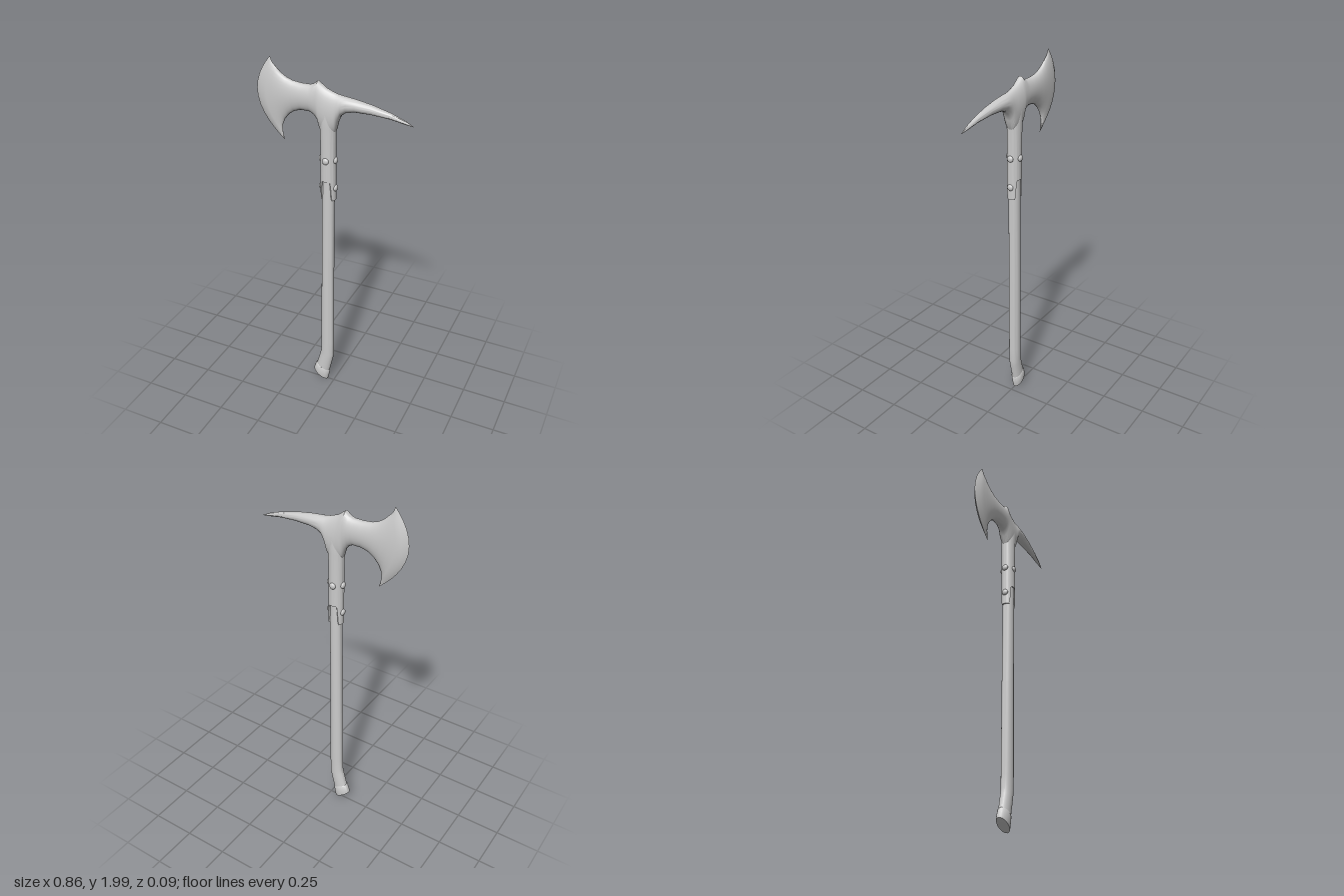
import * as THREE from 'three';
import { toCreasedNormals } from 'three/addons/utils/BufferGeometryUtils.js';

const material = new THREE.MeshStandardMaterial({ color: 0xcccccc });
const openMaterial = new THREE.MeshStandardMaterial({ color: 0xcccccc, side: THREE.DoubleSide });

// Skins elliptical sections [x1, y1, x2, y2, halfDepth, bulge]; the two points are the ends of
// the section in the xy plane, and bulge bows its middle towards -x.
// adjust(point, angle, row) may move single points.
function loft(sections, segments, crease, adjust) {
  const pos = [], index = [];
  sections.forEach(([x1, y1, x2, y2, depth, bulge = 0], row) => {
    for (let j = 0; j < segments; j++) {
      const a = (j / segments) * Math.PI * 2;
      const c = Math.cos(a), s = Math.sin(a);
      const p = new THREE.Vector3(
        (x1 + x2) / 2 + ((x1 - x2) / 2) * c - bulge * s * s,
        (y1 + y2) / 2 + ((y1 - y2) / 2) * c,
        depth * s
      );
      if (adjust) adjust(p, a, row);
      pos.push(p.x, p.y, p.z);
    }
  });
  for (let i = 0; i < sections.length - 1; i++) {
    for (let j = 0; j < segments; j++) {
      const k = (j + 1) % segments;
      const a = i * segments + j, b = i * segments + k;
      const c = a + segments, d = b + segments;
      index.push(a, b, c, b, d, c);
    }
  }
  const g = new THREE.BufferGeometry();
  g.setAttribute('position', new THREE.Float32BufferAttribute(pos, 3));
  g.setIndex(index);
  return toCreasedNormals(g, crease);
}

export function createModel() {
  const group = new THREE.Group();
  const add = (name, geometry, mat = material) => {
    const mesh = new THREE.Mesh(geometry, mat);
    mesh.name = name;
    group.add(mesh);
    return mesh;
  };

  // Head: one skin running from the cutting edge, over the socket, to the spike tip
  add('axeHead', loft([
    [-0.35, 2.0, -0.28, 1.56, 0, 0.115],
    [-0.343, 1.978, -0.286, 1.583, 0.019, 0.085],
    [-0.335, 1.965, -0.292, 1.61, 0.024, 0.055],
    [-0.32, 1.95, -0.29, 1.645, 0.027, 0.03],
    [-0.295, 1.925, -0.275, 1.68, 0.03, 0.015],
    [-0.265, 1.905, -0.25, 1.71, 0.032, 0.005],
    [-0.23, 1.892, -0.22, 1.732, 0.033],
    [-0.18, 1.886, -0.18, 1.745, 0.035],
    [-0.13, 1.887, -0.13, 1.745, 0.037],
    [-0.108, 1.895, -0.105, 1.732, 0.038],
    [-0.085, 1.915, -0.085, 1.705, 0.039],
    [-0.065, 1.9, -0.073, 1.66, 0.04],
    [-0.04, 1.882, -0.04, 1.64, 0.041],
    [-0.01, 1.87, -0.01, 1.64, 0.041],
    [0.01, 1.863, 0.012, 1.66, 0.04],
    [0.03, 1.858, 0.023, 1.71, 0.039],
    [0.05, 1.855, 0.042, 1.752, 0.037],
    [0.08, 1.851, 0.07, 1.773, 0.035],
    [0.12, 1.846, 0.12, 1.783, 0.032],
    [0.2, 1.833, 0.2, 1.785, 0.025],
    [0.3, 1.809, 0.3, 1.778, 0.016],
    [0.38, 1.781, 0.38, 1.764, 0.008],
    [0.425, 1.758, 0.425, 1.758, 0],
  ], 32, 0.8));

  // Socket: sleeve whose lower rim is notched front and back, leaving a tongue on each side
  add('socket', loft([
    [-0.064, 1.38, 0.002, 1.38, 0.031],
    [-0.073, 1.38, 0.011, 1.38, 0.037],
    [-0.073, 1.42, 0.011, 1.42, 0.037],
    [-0.072, 1.55, 0.01, 1.55, 0.037],
    [-0.074, 1.68, 0.012, 1.68, 0.039],
    [-0.074, 1.76, 0.014, 1.76, 0.041],
    [-0.055, 1.82, 0, 1.82, 0.03],
    [-0.03, 1.83, -0.03, 1.83, 0],
  ], 64, 0.7, (p, angle, row) => {
    if (row < 2) {
      const t = THREE.MathUtils.smoothstep(Math.abs(Math.sin(angle)), 0.66, 0.86);
      p.y = 1.27 + 0.11 * t;
    }
  }), openMaterial);

  // Rivets: four round the sleeve and one on each tongue
  const rivet = new THREE.SphereGeometry(0.018, 16, 10);
  const addRivet = (name, x, y, z) => {
    const mesh = add(name, rivet);
    mesh.position.set(x, y, z);
    if (z === 0) mesh.scale.x = 0.6;
    else mesh.scale.z = 0.6;
  };
  for (const side of [-1, 1]) {
    addRivet('sideRivet', -0.031 + side * 0.041, 1.5, 0);
    addRivet('faceRivet', -0.031, 1.5, side * 0.036);
    addRivet('tongueRivet', -0.031 + side * 0.041, 1.34, 0);
  }

  // Handle: slightly tapered shaft with a kicked-back foot
  add('handle', loft([
    [-0.118, 0.08, -0.035, 0.04, 0.029],
    [-0.108, 0.118, -0.028, 0.078, 0.029],
    [-0.086, 0.2, -0.006, 0.175, 0.03],
    [-0.081, 0.225, -0.001, 0.205, 0.03],
    [-0.079, 0.3, 0, 0.3, 0.031],
    [-0.072, 0.8, 0, 0.8, 0.031],
    [-0.065, 1.3, 0.003, 1.3, 0.031],
    [-0.065, 1.45, 0.003, 1.45, 0.031],
  ], 24, 0.7));

  // Pommel: tilted cap over the foot
  add('pommel', loft([
    [-0.083, 0.036, -0.083, 0.036, 0],
    [-0.122, 0.058, -0.044, 0.01, 0.026],
    [-0.129, 0.066, -0.039, 0.006, 0.03],
    [-0.128, 0.076, -0.036, 0.018, 0.032],
    [-0.114, 0.116, -0.026, 0.073, 0.032],
    [-0.108, 0.12, -0.029, 0.08, 0.029],
    [-0.068, 0.1, -0.068, 0.1, 0],
  ], 24, 0.7));

  return group;
}
